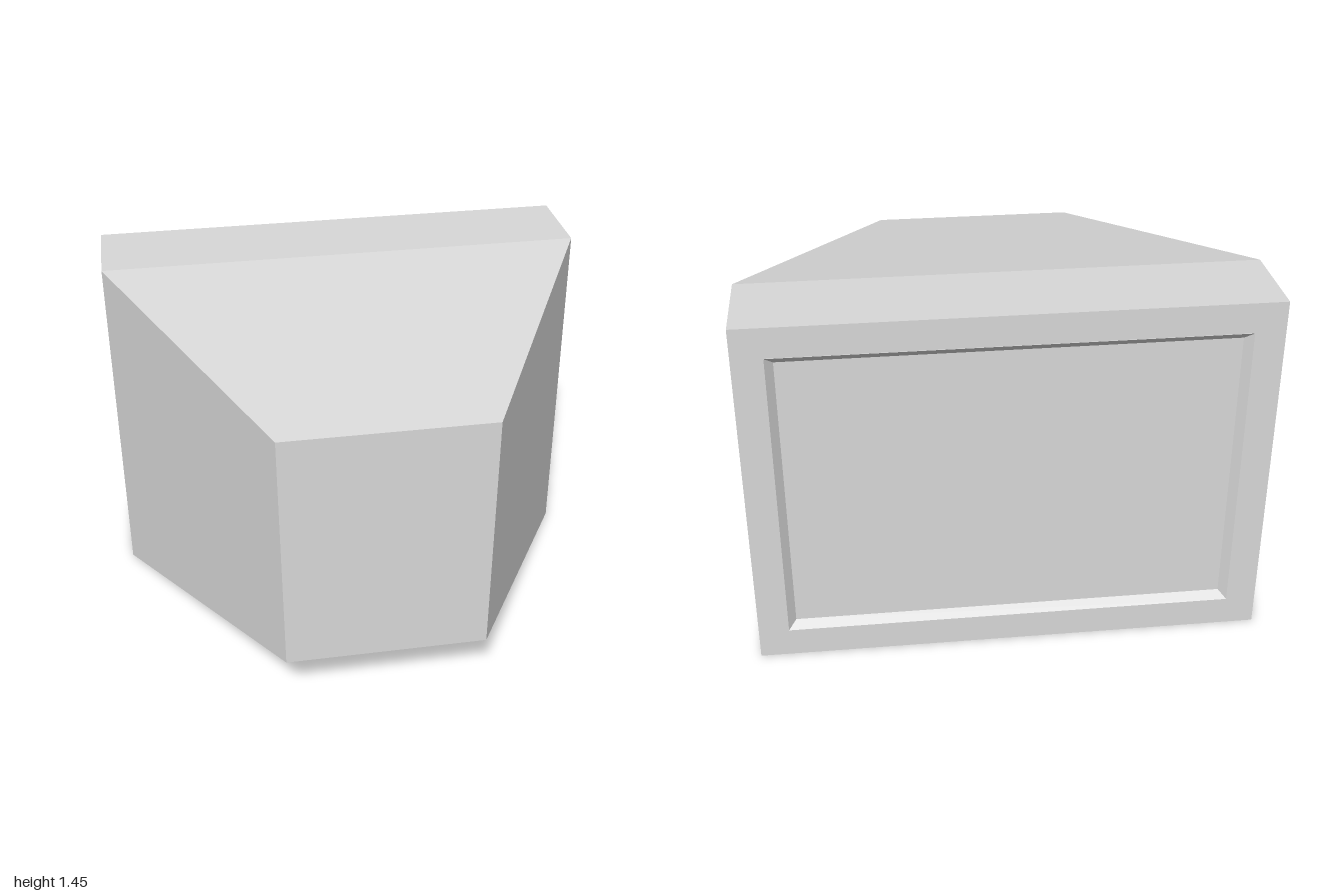
import * as THREE from 'three';

// Rectangular cross-section, anticlockwise seen from +z: bottom left, bottom right, top right, top left
const ring = (x, y0, y1, z) => [[-x, y0, z], [x, y0, z], [x, y1, z], [-x, y1, z]];

// Flat-shaded mesh from a list of quads
function quadMesh(name, quads, material) {
  const positions = [];
  for (const [a, b, c, d] of quads) positions.push(...a, ...b, ...c, ...a, ...c, ...d);
  const geometry = new THREE.BufferGeometry();
  geometry.setAttribute('position', new THREE.Float32BufferAttribute(positions, 3));
  geometry.computeVertexNormals();
  const mesh = new THREE.Mesh(geometry, material);
  mesh.name = name;
  return mesh;
}

// Four quads joining a cross-section to the next one behind it
const band = (a, b) => a.map((p, i) => [p, b[i], b[(i + 1) % 4], a[(i + 1) % 4]]);

export function createModel() {
  const group = new THREE.Group();
  group.name = 'monitor';
  const grey = new THREE.MeshStandardMaterial({ color: 0xd8d8d8 });
  grey.name = 'casing grey';

  // Slightly leaning small end of the tapered casing
  const nose = [[-0.41, 0.215, 0.744], [0.405, 0.215, 0.744], [0.415, 1.237, 0.73], [-0.42, 1.237, 0.73]];
  const shoulder = ring(1, 0, 1.45, -0.365);
  const rim = ring(1, 0, 1.45, -0.741);
  const lipBase = ring(0.882, 0.12, 1.33, -0.741);
  const lipEdge = ring(0.882, 0.12, 1.33, -0.744);
  // Screen is set in behind a sloping surround
  const inset = ring(0.852, 0.15, 1.3, -0.714);

  group.add(
    quadMesh('taperedCasing', [nose, ...band(nose, shoulder)], grey),
    quadMesh('screenHousing', band(shoulder, rim), grey),
    quadMesh('bezel', band(rim, lipBase), grey),
    quadMesh('screenLip', band(lipBase, lipEdge), grey),
    quadMesh('screenSurround', band(lipEdge, inset), grey),
    quadMesh('screen', [[...inset].reverse()], grey),
  );
  return group;
}
